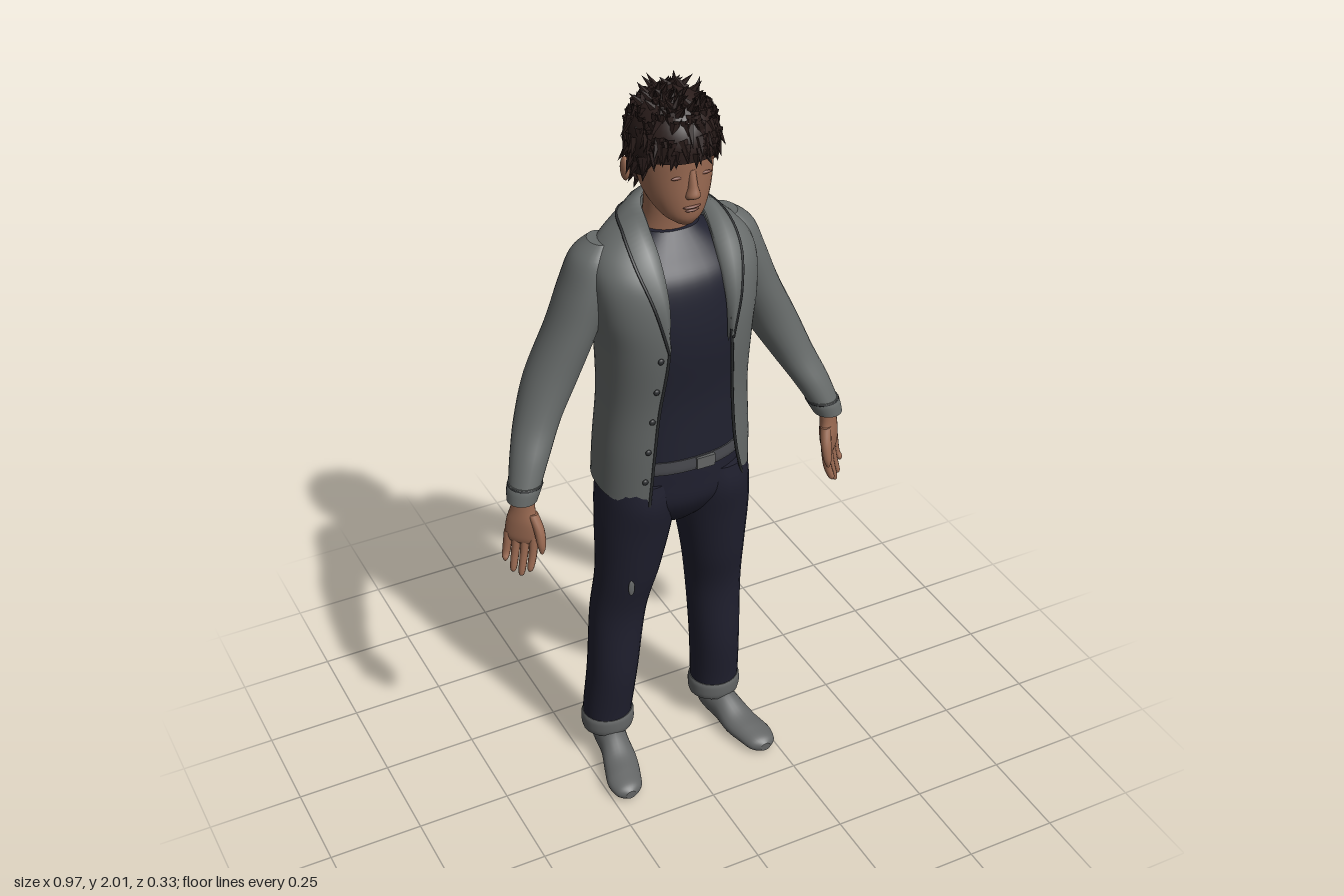
import * as THREE from 'three';
import { mergeGeometries } from 'three/addons/utils/BufferGeometryUtils.js';

const mat = (name, color, side = THREE.FrontSide) =>
  Object.assign(new THREE.MeshStandardMaterial({ color, side }), { name });
const V = (x, y, z) => new THREE.Vector3(x, y, z);
const spow = (v, e) => Math.sign(v) * Math.abs(v) ** e;

// Surface through rows of points; rows may close on themselves
function skin(rows, closed) {
  const n = rows[0].length, pos = [], idx = [];
  rows.forEach(r => r.forEach(p => pos.push(p.x, p.y, p.z)));
  for (let i = 0; i < rows.length - 1; i++)
    for (let j = 0; j < (closed ? n : n - 1); j++) {
      const a = i * n + j, b = i * n + (j + 1) % n;
      idx.push(a, b, b + n, a, b + n, a + n);
    }
  const g = new THREE.BufferGeometry();
  g.setAttribute('position', new THREE.Float32BufferAttribute(pos, 3));
  g.setAttribute('uv', new THREE.Float32BufferAttribute(new Array(pos.length / 3 * 2).fill(0), 2));
  g.setIndex(idx);
  g.computeVertexNormals();
  return g;
}

// Spline through sections [x, y, z, rx, rz, ...]
function smooth(secs, k = 6) {
  const out = [], at = i => secs[Math.min(Math.max(i, 0), secs.length - 1)];
  for (let i = 0; i < secs.length - 1; i++)
    for (let s = 0; s < k; s++) {
      const t = s / k;
      out.push(secs[i].map((b, c) => {
        const a = at(i - 1)[c], d = at(i + 1)[c], e = at(i + 2)[c];
        return b + 0.5 * t * (d - a + t * (2 * a - 5 * b + 4 * d - e + t * (3 * (b - d) + e - a)));
      }));
    }
  out.push(secs[secs.length - 1]);
  return out;
}
const onRing = (s, th, e) => V(s[0] + s[3] * spow(Math.sin(th), e), s[1], s[2] + s[4] * spow(Math.cos(th), e));

// Capped solid through elliptical sections stacked along y
function loft(secs, { n = 24, e = 1, k = 6 } = {}) {
  if (secs[0][1] > secs[secs.length - 1][1]) secs = [...secs].reverse();
  const rows = smooth(secs, k).map(s =>
    Array.from({ length: n }, (_, j) => onRing(s, j / n * Math.PI * 2, e)));
  const cap = (r, s) => r.map(() => V(s[0], s[1], s[2]));
  const last = rows[rows.length - 1];
  return skin([cap(rows[0], secs[0]), rows[0], ...rows, last, cap(last, secs[secs.length - 1])], true);
}

function mirrored(g) {
  const m = g.clone().scale(-1, 1, 1), a = m.index.array;
  for (let i = 0; i < a.length; i += 3) [a[i], a[i + 1]] = [a[i + 1], a[i]];
  return m;
}
const ball = (x, y, z, rx, ry, rz) => new THREE.SphereGeometry(1, 16, 10).scale(rx, ry, rz).translate(x, y, z);

export function createModel() {
  const model = new THREE.Group();
  const wool = mat('grey wool', 0x676b6a, THREE.DoubleSide), trim = mat('dark trim', 0x2b2d2f);
  const denim = mat('navy denim', 0x20202f), cotton = mat('navy cotton', 0x20212f);
  const skinTone = mat('skin', 0x9a6a52), lip = mat('lip', 0x7b4d40);
  const hairTone = mat('dark brown hair', 0x2a1d1b, THREE.DoubleSide);
  const shoeGrey = mat('shoe grey', 0x636565), beltGrey = mat('belt grey', 0x48494e);
  const add = (name, g, m) => {
    const mesh = new THREE.Mesh(g, m);
    mesh.name = name;
    model.add(mesh);
  };
  const pair = (name, g, m) => { add(name + 'Left', g, m); add(name + 'Right', mirrored(g), m); };

  // Jeans: legs, hips, turned-up cuffs
  pair('trouserLeg', loft([[.165, .1, -.065, .064, .06], [.165, .15, -.064, .068, .064], [.155, .3, -.048, .069, .071],
    [.142, .5, -.036, .077, .069], [.125, .65, -.01, .086, .08], [.112, .8, 0, .1, .1],
    [.105, .9, 0, .1, .12], [.1, .97, 0, .095, .115]]), denim);
  add('hips', loft([[0, .8, 0, .05, .05], [0, .84, 0, .14, .085], [0, .9, 0, .195, .118],
    [0, .97, 0, .19, .124], [0, 1.04, 0, .182, .125]], { n: 32 }), denim);
  pair('trouserCuff', loft([[.165, .085, -.065, .07, .064], [.165, .1, -.065, .073, .068],
    [.165, .125, -.065, .073, .068], [.165, .137, -.065, .069, .065]]), shoeGrey);
  add('kneeTear', ball(-.15, .64, .068, .009, .024, .004), shoeGrey);

  // Shoes: sections run heel to toe, then turn forward
  pair('shoe', loft([[.165, -.108, -.04, .015, .02], [.165, -.095, -.045, .035, .043], [.168, -.05, -.052, .043, .051],
    [.175, 0, -.048, .042, .047], [.186, .06, -.033, .049, .033], [.2, .11, -.027, .049, .027],
    [.205, .15, -.022, .038, .022], [.207, .168, -.02, .015, .012]]).rotateX(Math.PI / 2), shoeGrey);
  pair('ankle', loft([[.167, .05, -.055, .04, .045], [.165, .12, -.062, .045, .045]]), shoeGrey);

  // Shirt and belt
  add('shirt', loft([[0, 1.04, 0, .172, .13], [0, 1.2, 0, .167, .128], [0, 1.35, .003, .172, .139],
    [0, 1.45, .003, .18, .135], [0, 1.53, 0, .17, .122], [0, 1.58, -.012, .14, .1],
    [0, 1.635, -.025, .075, .068]], { n: 36, e: .85 }), cotton);
  add('belt', loft([[0, 1.008, 0, .186, .133], [0, 1.02, 0, .187, .135], [0, 1.045, 0, .183, .134]],
    { n: 36, e: .9 }), beltGrey);
  add('buckle', new THREE.BoxGeometry(.05, .032, .009).translate(.025, 1.027, .136), shoeGrey);

  // Cardigan body, open at the front; last two numbers are the opening's half widths
  const E = .85;
  const coat = smooth([[0, .94, -.012, .205, .148, .15, .12], [0, 1.05, -.007, .2, .15, .115, .112],
    [0, 1.2, 0, .19, .148, .098, .1], [0, 1.35, .005, .195, .157, .085, .085], [0, 1.45, .005, .208, .153, .08, .08],
    [0, 1.53, 0, .212, .138, .078, .078], [0, 1.58, -.012, .2, .115, .076, .076],
    [0, 1.62, -.027, .165, .092, .075, .075], [0, 1.66, -.04, .11, .075, .072, .072], [0, 1.69, -.05, .08, .05, .07, .07]]);
  const edgeAngle = (s, w) => Math.asin(Math.min(1, (w / s[3]) ** (1 / E)));
  const coatRows = coat.map(s => {
    const a = edgeAngle(s, s[5]), b = Math.PI * 2 - edgeAngle(s, s[6]), n = 48;
    return Array.from({ length: n + 1 }, (_, j) => {
      const p = onRing(s, a + (b - a) * j / n, E);
      p.y -= .12 * (p.z + .03) * Math.max(0, (1.05 - s[1]) / .11); // hem dips at the front
      return p;
    });
  });
  add('cardiganBody', skin(coatRows, false), wool);
  const piping = (name, pts, r) =>
    add(name, new THREE.TubeGeometry(new THREE.CatmullRomCurve3(pts), 80, r, 6), trim);
  const lower = coatRows.filter((_, i) => coat[i][1] < 1.42);
  piping('frontEdgeLeft', lower.map(r => r[0]), .004);
  piping('frontEdgeRight', lower.map(r => r[r.length - 1]), .004);

  // Buttons down the right front
  for (const y of [1.0, 1.09, 1.18, 1.27, 1.36]) {
    const i = coat.findIndex(s => s[1] >= y), row = coatRows[i], p = row[row.length - 2];
    add('button', ball(p.x, y, p.z + .003, .008, .008, .005), trim);
  }

  // Shawl collar: a rolled strip from the left front, round the neck, to the right front
  const round = half => new THREE.CatmullRomCurve3([...half.map(p => V(...p)),
    ...half.slice(0, -1).reverse().map(p => V(-p[0], p[1], p[2]))]).getPoints(70);
  const inner = round([[.08, 1.38, .15], [.076, 1.5, .142], [.075, 1.6, .09], [.076, 1.66, .03], [.065, 1.7, -.03], [0, 1.712, -.075]]);
  const outer = round([[.085, 1.38, .158], [.115, 1.5, .141], [.137, 1.59, .087], [.133, 1.645, .01], [.105, 1.66, -.075], [0, 1.65, -.128]]);
  add('collar', skin(inner.map((p, i) => {
    const q = outer[i], m = p.clone().lerp(q, .45).add(V(0, .01, p.z > 0 ? .009 : -.006));
    return [p.clone().add(V(0, -.02, -.01)), p, m, q];
  }), false), wool);
  piping('collarEdge', outer, .0035);

  // Sleeves and ribbed cuffs
  pair('sleeve', loft([[.165, 1.612, -.045, .03, .04], [.188, 1.575, -.045, .05, .064], [.21, 1.5, -.045, .06, .076],
    [.245, 1.4, -.045, .065, .075], [.3, 1.28, -.045, .068, .071], [.35, 1.18, -.025, .058, .06],
    [.39, 1.1, .01, .049, .05], [.418, 1.035, .036, .04, .042]]), wool);
  pair('sleeveCuff', loft([[.415, 1.045, .034, .042, .043], [.42, 1.03, .037, .043, .044], [.429, 1.003, .043, .038, .04]]), wool);
  pair('cuffSeam', new THREE.TorusGeometry(.041, .0035, 6, 24).rotateX(Math.PI / 2).translate(.416, 1.04, .035), trim);

  // Hands: palm, four fingers and a thumb, thumb turned to the front
  const hand = [loft([[0, .03, 0, .027, .022], [0, -.02, 0, .031, .021], [.002, -.06, 0, .042, .021],
    [0, -.1, 0, .042, .017], [0, -.118, 0, .036, .012]])];
  for (let f = 0; f < 4; f++) {
    const x = .032 - f * .0215, tip = [-.195, -.212, -.205, -.178][f];
    hand.push(loft([[x, -.095, 0, .0115, .012], [x * 1.05, -.15, -.003, .0105, .011],
      [x * 1.02, tip + .01, -.012, .0085, .009], [x, tip, -.014, .003, .003]], { n: 10, k: 3 }));
  }
  hand.push(loft([[.025, -.03, -.002, .014, .014], [.046, -.07, -.008, .014, .014],
    [.057, -.11, -.014, .011, .011], [.06, -.133, -.016, .004, .004]], { n: 12, k: 4 }));
  const place = new THREE.Matrix4().makeRotationFromEuler(new THREE.Euler(0, 3.85, .1, 'ZYX')).setPosition(.428, 1.0, .048);
  pair('hand', mergeGeometries(hand).applyMatrix4(place), skinTone);

  // Neck, head and face
  add('neck', loft([[0, 1.58, -.03, .08, .06], [0, 1.66, -.02, .062, .056], [0, 1.75, -.01, .062, .058]]), skinTone);
  add('head', loft([[0, 1.673, .06, .024, .03], [0, 1.695, .048, .052, .054], [0, 1.74, .022, .078, .085],
    [0, 1.8, .008, .091, .1], [0, 1.86, 0, .094, .108], [0, 1.92, 0, .084, .095], [0, 1.96, 0, .045, .05]],
  { n: 32 }), skinTone);
  add('nose', loft([[0, 1.746, .1, .015, .01], [0, 1.757, .108, .018, .019], [0, 1.78, .106, .012, .015],
    [0, 1.82, .1, .009, .01]], { n: 14 }), skinTone);
  add('upperLip', ball(0, 1.725, .102, .023, .0045, .009), lip);
  add('lowerLip', ball(0, 1.716, .1, .019, .0045, .009), lip);
  pair('eyelid', ball(.036, 1.803, .1, .016, .004, .004), lip);
  pair('ear', ball(.095, 1.775, -.015, .01, .03, .018).rotateX(-.02), skinTone);

  // Hair shell, its lower edge running fringe, sideburn, over the ear, nape
  const TAU = Math.PI * 2, hairline = [[0, 1.845], [.9, 1.84], [1.25, 1.795], [1.5, 1.79], [1.75, 1.8], [2.1, 1.745], [2.6, 1.715], [3.2, 1.71]];
  const bottom = th => {
    const a = Math.PI - Math.abs(Math.PI - th % TAU), i = Math.max(1, hairline.findIndex(h => h[0] >= a));
    const [p, q] = [hairline[i - 1], hairline[i]];
    return p[1] + (q[1] - p[1]) * (a - p[0]) / (q[0] - p[0]);
  };
  const hairPoint = (th, y) => {
    const d = y - 1.865, r = d > 0 ? Math.sqrt(Math.max(0, 1 - (d / .112) ** 2)) : 1 - .3 * (d / .15) ** 2;
    return V(.105 * r * Math.sin(th), y, .003 + .118 * r * Math.cos(th));
  };
  const hairRows = Array.from({ length: 17 }, (_, i) => Array.from({ length: 48 }, (_, j) => {
    const th = j / 48 * TAU, b = bottom(th);
    return hairPoint(th, b + (1.977 - b) * Math.sin(i / 16 * Math.PI / 2));
  }));
  add('hair', skin(hairRows, true), hairTone);

  // Layered locks over the shell, swept down at the sides and up on the crown
  let seed = 7;
  const rnd = () => (seed = (seed * 16807) % 2147483647) / 2147483647;
  const locks = [], up = V(0, 1, 0);
  for (let i = 0; i < 300; i++) {
    const th = rnd() * TAU, b = bottom(th), f = rnd(), y = b + .012 + (1.965 - b) * f ** .8;
    const p = hairPoint(th, Math.min(y, 1.972)), crown = y > 1.945;
    const out = V(Math.sin(th), 0, Math.cos(th));
    const dir = crown ? V(rnd() * .9 - .5, .5, rnd() * 1 - .4) : out.multiplyScalar(.25).add(V(rnd() * .5 - .25, -.8, rnd() * .4 - .2));
    const h = crown ? .03 + rnd() * .025 : .035 + rnd() * .02;
    const g = new THREE.ConeGeometry(.012, h, 5, 1, true).translate(0, h * .3, 0).toNonIndexed();
    g.applyQuaternion(new THREE.Quaternion().setFromUnitVectors(up, dir.normalize()));
    g.translate(p.x * .98, p.y, p.z * .98).computeVertexNormals();
    locks.push(g);
  }
  add('hairLocks', mergeGeometries(locks), hairTone);
  return model;
}
